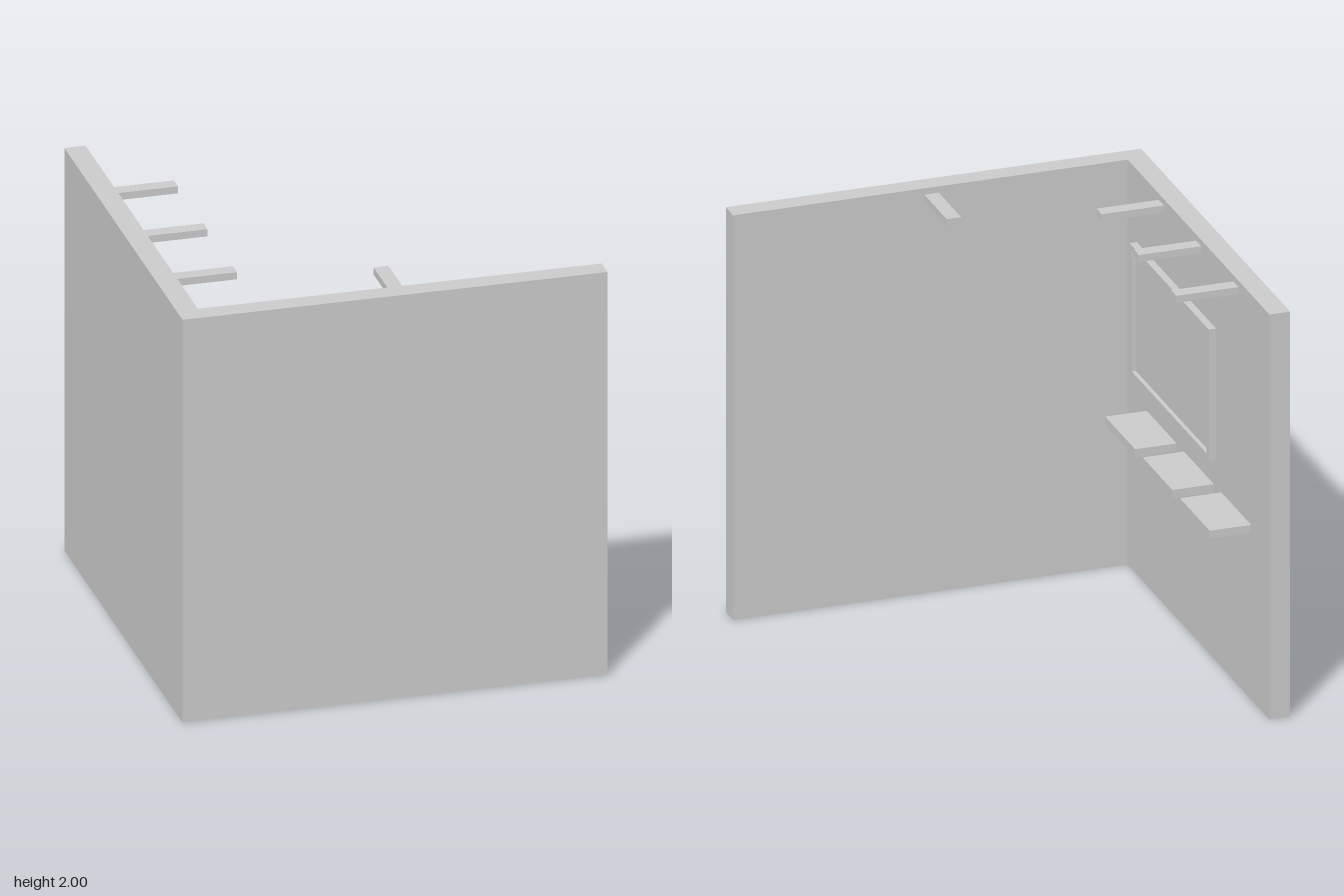
import * as THREE from 'three';

const material = new THREE.MeshStandardMaterial({ color: 0xcccccc, flatShading: true, side: THREE.DoubleSide });

function add(parent, name, geometry) {
  const mesh = new THREE.Mesh(geometry, material);
  mesh.name = name;
  parent.add(mesh);
  return mesh;
}

// Box given by its minimum and maximum corners
function box(parent, name, [x0, y0, z0], [x1, y1, z1]) {
  const mesh = add(parent, name, new THREE.BoxGeometry(x1 - x0, y1 - y0, z1 - z0));
  mesh.position.set((x0 + x1) / 2, (y0 + y1) / 2, (z0 + z1) / 2);
  return mesh;
}

function rectangle(width, height, Type = THREE.Shape) {
  const w = width / 2, h = height / 2;
  return new Type([[-w, -h], [w, -h], [w, h], [-w, h]].map(p => new THREE.Vector2(...p)));
}

// Lamp bar reaching out along +x, with a shallow light slot underneath
function lamp(parent, name, x, z, turn) {
  const group = new THREE.Group();
  group.name = name;
  const shape = rectangle(0.3, 0.07);
  shape.holes.push(rectangle(0.14, 0.03, THREE.Path));
  const lower = new THREE.ExtrudeGeometry(shape, { depth: 0.012, bevelEnabled: false });
  lower.rotateX(-Math.PI / 2).translate(0.15, 0, 0);
  add(group, 'lampRim', lower);
  box(group, 'lampBody', [0, 0.012, -0.035], [0.3, 0.035, 0.035]);
  group.position.set(x, 1.929, z);
  group.rotation.y = turn;
  parent.add(group);
}

// Wall screen: raised frame, recessed panel, tapered back shell and bracket
function wallScreen(parent) {
  const group = new THREE.Group();
  group.name = 'wallScreen';
  const outline = rectangle(1.06, 0.645);
  outline.holes.push(rectangle(1.004, 0.598, THREE.Path));
  const frame = new THREE.ExtrudeGeometry(outline, { depth: 0.035, bevelEnabled: false });
  frame.rotateY(Math.PI / 2);
  add(group, 'screenFrame', frame).position.x = -0.815;
  box(group, 'screenPanel', [-0.814, -0.31, -0.515], [-0.8, 0.31, 0.515]);

  // Back shell: a shallow pyramid with a flat end
  const shell = new THREE.CylinderGeometry(Math.SQRT1_2 * 0.35, Math.SQRT1_2, 0.012, 4, 1);
  shell.rotateY(Math.PI / 4).rotateZ(Math.PI / 2).scale(1, 0.6, 1.0);
  add(group, 'screenBack', shell).position.x = -0.82;

  box(group, 'bracketArm', [-0.88, -0.04, -0.02], [-0.822, 0.04, 0.03]);
  const plate = new THREE.Shape([[-0.9, 0.1], [-0.9, -0.02], [-0.88, -0.02], [-0.88, 0.03]]
    .map(([x, z]) => new THREE.Vector2(x, -z)));
  const wedge = new THREE.ExtrudeGeometry(plate, { depth: 0.12, bevelEnabled: false });
  wedge.rotateX(-Math.PI / 2).translate(0, -0.06, 0);
  add(group, 'bracketPlate', wedge);
  group.position.set(0, 1.423, 0.01);
  parent.add(group);
}

export function createModel() {
  const model = new THREE.Group();
  model.name = 'cornerDisplay';

  // L-shaped pair of walls in one piece
  const plan = new THREE.Shape([[-1, -1], [1, -1], [1, -0.9], [-0.9, -0.9], [-0.9, 1], [-1, 1]]
    .map(p => new THREE.Vector2(...p)));
  const walls = new THREE.ExtrudeGeometry(plan, { depth: 1.995, bevelEnabled: false });
  add(model, 'walls', walls.rotateX(-Math.PI / 2));

  // Shelves and lamps along the side wall
  for (const z of [-0.555, -0.055, 0.445]) {
    box(model, 'shelf', [-0.9, 0.82, z - 0.2], [-0.7, 0.86, z + 0.2]);
    lamp(model, 'sideLamp', -0.9, z + 0.005, 0);
  }
  lamp(model, 'frontLamp', 0.045, 0.9, Math.PI / 2);

  wallScreen(model);
  return model;
}
